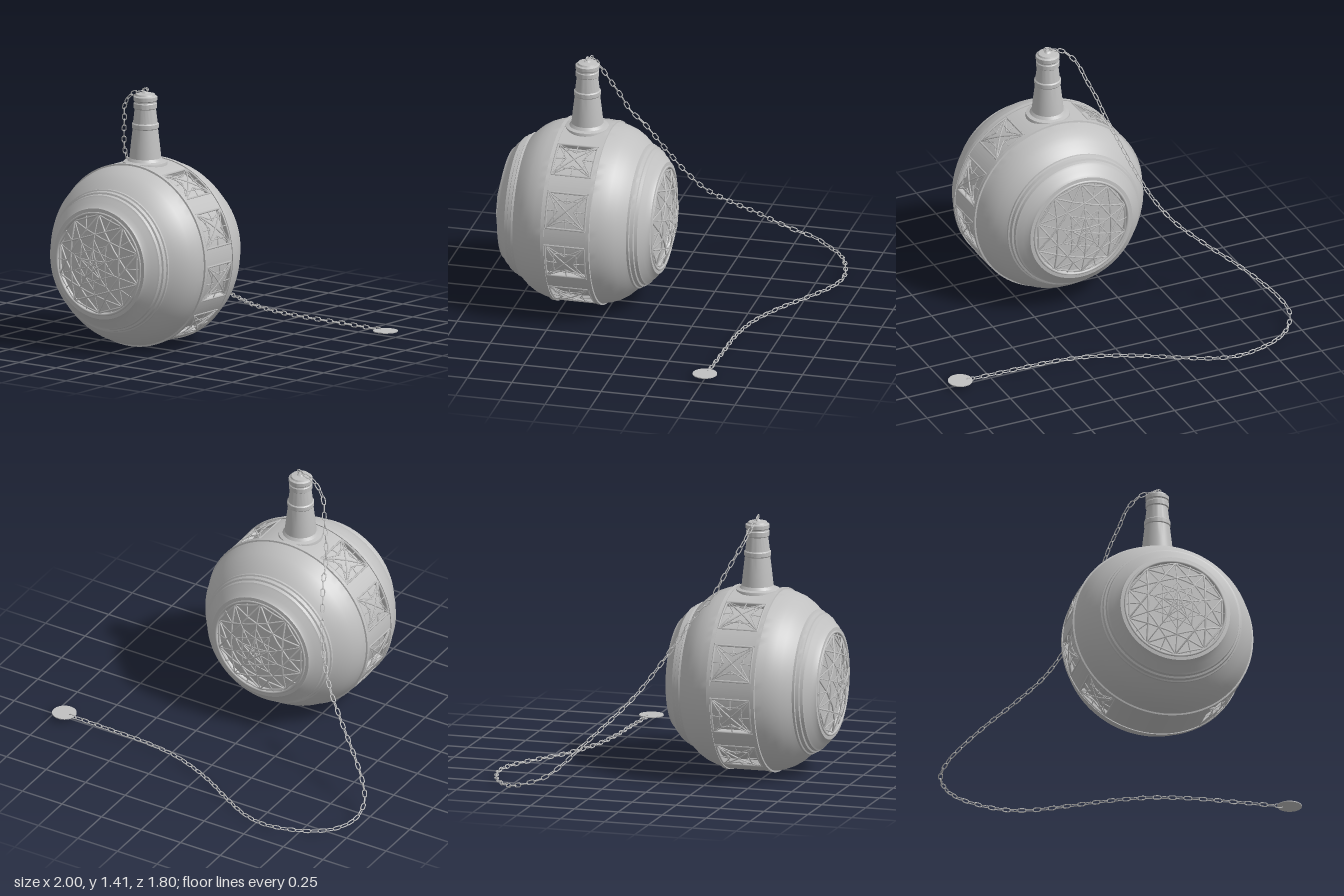
import * as THREE from 'three';
import { mergeGeometries, toCreasedNormals } from 'three/addons/utils/BufferGeometryUtils.js';

const V2 = (x, y) => new THREE.Vector2(x, y);
const V3 = (x, y, z) => new THREE.Vector3(x, y, z);
const rad = THREE.MathUtils.degToRad;

export function createModel() {
  const metal = new THREE.MeshStandardMaterial({ color: 0xc0c0c0 });
  metal.name = 'grey metal';
  const root = new THREE.Group();
  const flask = new THREE.Group();
  flask.name = 'flask';
  flask.position.set(-0.02, 0.504, 0.405);
  root.add(flask);

  const add = (parent, name, geometry) => {
    const mesh = new THREE.Mesh(geometry, metal);
    mesh.name = name;
    parent.add(mesh);
    return mesh;
  };
  const lathe = (profile, segments) =>
    toCreasedNormals(new THREE.LatheGeometry(profile.map(([r, y]) => V2(r, y)), segments), 0.5);

  // A thin bar drawn between two flat points, laid onto a curved surface
  const bar = (surface, a, b, width, steps = 4) => {
    const points = [];
    for (let i = 0; i <= steps; i++) {
      const t = i / steps;
      points.push(surface(a[0] + (b[0] - a[0]) * t, a[1] + (b[1] - a[1]) * t));
    }
    return new THREE.TubeGeometry(new THREE.CatmullRomCurve3(points), steps, width, 5);
  };

  // Barrel body, turned about the front-to-back axis; [radius, distance from middle]
  const half = [
    [0.465, 0.116], [0.504, 0.116], [0.504, 0.136], [0.495, 0.138],
    [0.485, 0.18], [0.468, 0.225], [0.443, 0.265], [0.412, 0.3], [0.394, 0.318],
    [0.394, 0.33], [0.386, 0.334], [0.382, 0.352], [0.372, 0.356], [0.368, 0.372],
    [0.358, 0.378], [0.335, 0.402], [0.314, 0.415],
    [0.306, 0.428], [0.285, 0.43], [0.278, 0.42], [0.272, 0.4], [0, 0.4],
  ];
  const profile = [...half.map(([r, d]) => [r, -d]).reverse(), ...half];
  add(flask, 'body', lathe(profile, 96).rotateX(Math.PI / 2));

  // Solid panels of the middle band, leaving four windows on each side
  const pitch = 34.3, halfWindow = 12;
  const panel = (from, to) => {
    const a = rad(90 - to), b = rad(90 - from);
    const shape = new THREE.Shape();
    shape.absarc(0, 0, 0.499, a, b, false);
    shape.absarc(0, 0, 0.46, b, a, true);
    const geometry = new THREE.ExtrudeGeometry(shape, { depth: 0.236, bevelEnabled: false, curveSegments: 24 });
    return toCreasedNormals(geometry.translate(0, 0, -0.118), 0.5);
  };
  for (let i = -4; i < 4; i++) {
    if (i !== -1 && i !== 0) {
      add(flask, 'bandPanel', panel(i * pitch + halfWindow, (i + 1) * pitch - halfWindow));
    }
  }
  add(flask, 'bandBase', panel(4 * pitch + halfWindow, 360 - 4 * pitch - halfWindow));
  add(flask, 'neckSeat', panel(halfWindow - pitch, pitch - halfWindow));

  // Latticed window grilles, bulging slightly from the band
  const grille = (center) => {
    const surface = (u, v) => {
      const angle = rad(center + u * halfWindow);
      const r = 0.497 + 0.01 * (1 - Math.max(u * u, v * v));
      return V3(Math.sin(angle) * r, Math.cos(angle) * r, v * 0.116);
    };
    const bars = [];
    for (let q = 0; q < 4; q++) {
      const c = Math.round(Math.cos(q * Math.PI / 2)), s = Math.round(Math.sin(q * Math.PI / 2));
      const turn = (u, v) => [u * c - v * s, u * s + v * c];
      const line = (a, b, w) => bars.push(bar(surface, turn(...a), turn(...b), w));
      line([-0.95, 0.95], [0.95, 0.95], 0.006);
      line([0, 0], [0.95, 0.95], 0.004);
      line([0.95, 0.95], [0.4, 0], 0.003);
      line([0.95, -0.95], [0.4, 0], 0.003);
      line([0.4, 0], [0.95, 0], 0.003);
      line([0.55, -0.55], [0.55, 0.55], 0.003);
    }
    return mergeGeometries(bars);
  };
  for (const side of [-1, 1]) {
    for (let i = 1; i <= 4; i++) add(flask, 'windowGrille', grille(side * i * pitch));
  }

  // Domed star rosettes at front and back
  const dome = (x, y) => V3(x, y, 0.425 + 0.063 * (1 - (x * x + y * y) / 0.0756));
  const polar = (r, k) => [r * Math.sin(k * Math.PI / 5), r * Math.cos(k * Math.PI / 5)];
  const rosetteBars = [];
  for (let k = 0; k < 10; k++) {
    const line = (r1, k1, r2, k2, w) => rosetteBars.push(bar(dome, polar(r1, k + k1), polar(r2, k + k2), w));
    line(0.272, 0, 0.272, 1, 0.005);
    line(0.272, 0, 0.272, 3, 0.005);
    line(0.272, 0, 0.07, 0, 0.003);
    line(0.14, 0, 0.14, 3, 0.003);
    line(0.272, 0.5, 0.19, 0.5, 0.003);
    if (k % 2 === 0) line(0.09, 0, 0.09, 4, 0.004);
    line(0.07, 0, 0, 0, 0.003);
  }
  const rosetteGeometry = mergeGeometries(rosetteBars);
  for (const [name, turn] of [['frontRosette', 0], ['backRosette', Math.PI]]) {
    const rosette = new THREE.Group();
    rosette.name = name;
    rosette.rotation.y = turn;
    add(rosette, 'starLattice', rosetteGeometry);
    add(rosette, 'rosetteRim', new THREE.TorusGeometry(0.28, 0.008, 8, 80)).position.z = 0.428;
    flask.add(rosette);
  }

  // Tapered neck with collars and stopper
  const neck = add(root, 'neck', lathe([
    [0, 0.96], [0.122, 0.96], [0.122, 0.99], [0.118, 1.004], [0.098, 1.01], [0.087, 1.025],
    [0.079, 1.1], [0.069, 1.185], [0.073, 1.19], [0.073, 1.212], [0.067, 1.218],
    [0.058, 1.295], [0.064, 1.3], [0.064, 1.325], [0.06, 1.33], [0.06, 1.337],
    [0.065, 1.342], [0.065, 1.362], [0.055, 1.368], [0.051, 1.376], [0.02, 1.381],
    [0.012, 1.388], [0, 1.39],
  ], 48));
  neck.position.set(-0.02, 0, 0.405);
  add(root, 'stopperRing', new THREE.TorusGeometry(0.011, 0.0035, 8, 20)).position.set(-0.02, 1.395, 0.405);

  // Chain path from the stopper, over the shoulder and along the ground
  const path = new THREE.CatmullRomCurve3([
    [-0.02, 1.397, 0.405], [-0.11, 1.365, 0.4], [-0.18, 1.29, 0.375], [-0.215, 1.2, 0.33],
    [-0.255, 1.1, 0.28], [-0.285, 1.0, 0.23], [-0.31, 0.92, 0.16], [-0.37, 0.75, 0.05],
    [-0.43, 0.61, -0.04], [-0.52, 0.48, -0.13], [-0.65, 0.365, -0.23], [-0.8, 0.25, -0.34],
    [-0.91, 0.155, -0.43], [-0.97, 0.095, -0.51], [-0.985, 0.055, -0.62], [-0.94, 0.03, -0.71],
    [-0.85, 0.024, -0.8], [-0.72, 0.022, -0.86], [-0.56, 0.022, -0.89], [-0.42, 0.022, -0.86],
    [-0.25, 0.022, -0.77], [-0.1, 0.022, -0.68], [0.05, 0.025, -0.61], [0.2, 0.028, -0.56],
    [0.4, 0.03, -0.53], [0.65, 0.03, -0.52], [0.875, 0.028, -0.51],
  ].map((p) => V3(...p)));

  // One oval link, lying along x
  const outline = [];
  for (let i = 0; i < 16; i++) {
    const a = (i + 0.5) * Math.PI / 8;
    outline.push(V3(Math.sign(Math.cos(a)) * 0.012 + Math.cos(a) * 0.01, Math.sin(a) * 0.01, 0));
  }
  const link = new THREE.TubeGeometry(new THREE.CatmullRomCurve3(outline, true), 20, 0.0032, 6, true);
  const links = [];
  const count = Math.round(path.getLength() / 0.042);
  for (let i = 0; i <= count; i++) {
    const p = path.getPointAt(i / count), t = path.getTangentAt(i / count);
    const side = V3(0, 1, 0).cross(t).normalize();
    const up = t.clone().cross(side);
    const basis = i % 2
      ? new THREE.Matrix4().makeBasis(t, side, up)
      : new THREE.Matrix4().makeBasis(t, up, side.negate());
    links.push(link.clone().applyMatrix4(basis.setPosition(p)));
  }
  add(root, 'chain', mergeGeometries(links));

  // Flat disc on the chain's free end
  add(root, 'endDisc', new THREE.CylinderGeometry(0.067, 0.067, 0.005, 48)).position.set(0.933, 0.028, -0.5);
  return root;
}
